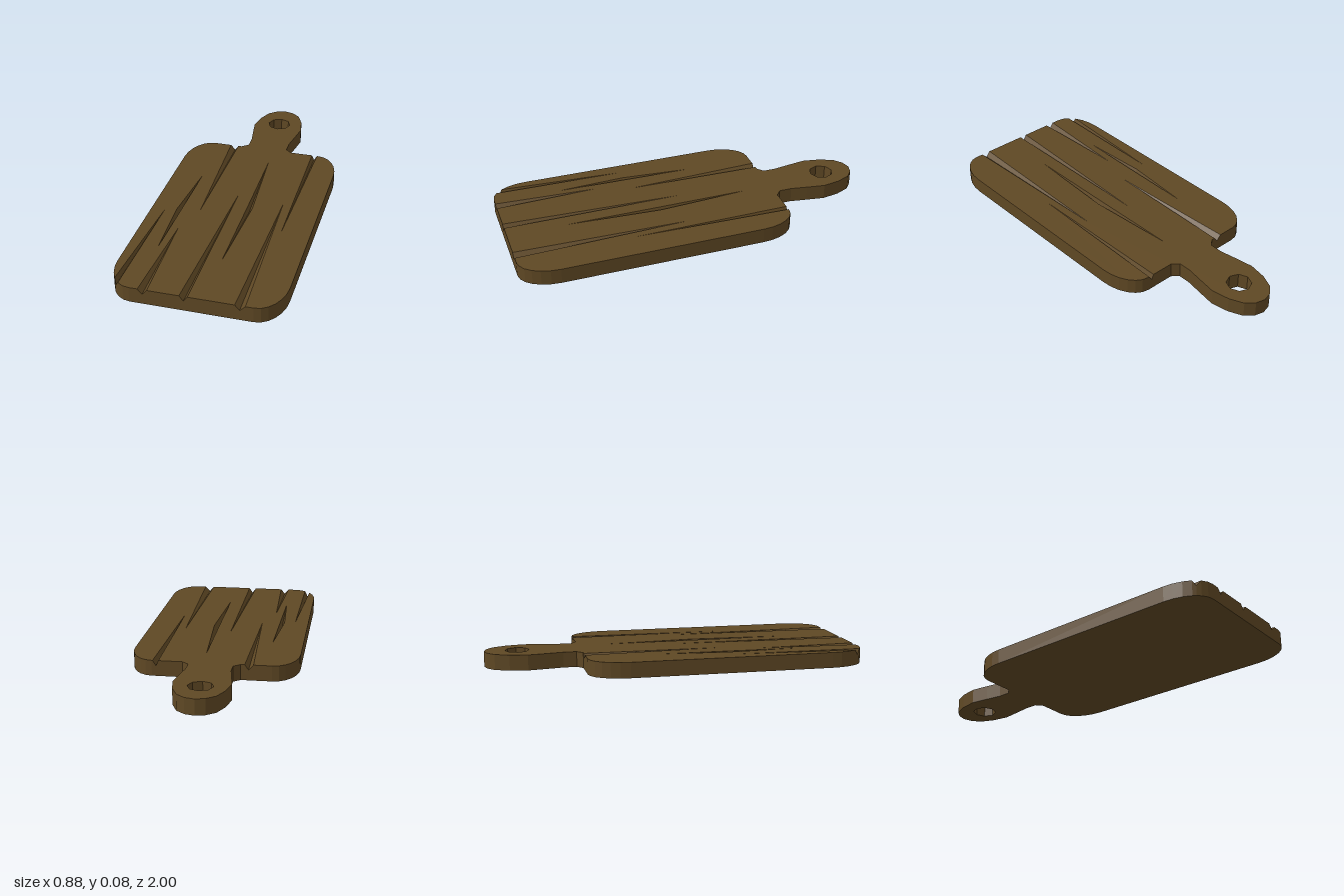
import * as THREE from 'three';

const H = 0.083;       // board thickness
const DEEP = 0.055;    // height of the groove bottoms
const HOLE_Z = -0.825, HOLE_R = 0.065;

const material = new THREE.MeshStandardMaterial({ color: 0x5f4824, flatShading: true, roughness: 0.9 });

// Shape from [x, z] points; sign flips z for faces that look up
const toPath = (pts, sign, Type) => new Type(pts.map(([x, z]) => new THREE.Vector2(x, z * sign)));

function trianglesMesh(name, verts) {
  const g = new THREE.BufferGeometry();
  g.setAttribute('position', new THREE.Float32BufferAttribute(verts.flat(), 3));
  g.computeVertexNormals();
  const mesh = new THREE.Mesh(g, material);
  mesh.name = name;
  return mesh;
}

function flatMesh(name, outline, holes, up) {
  const sign = up ? -1 : 1;
  const shape = toPath(outline, sign, THREE.Shape);
  shape.holes = holes.map(h => toPath(h, sign, THREE.Path));
  const g = new THREE.ShapeGeometry(shape);
  g.rotateX(sign * Math.PI / 2);
  if (up) g.translate(0, H, 0);
  const mesh = new THREE.Mesh(g, material);
  mesh.name = name;
  return mesh;
}

// Point on a rounded corner, measured from the side (0) to the end (90 degrees)
function cornerPoint(sx, end, deg) {
  const a = deg * Math.PI / 180;
  const z = end > 0 ? 0.8 + 0.2 * Math.sin(a) : -0.29 - 0.2 * Math.sin(a);
  return [sx * (0.31 + 0.13 * Math.cos(a)), z];
}
const corner = (sx, end, degs) => degs.map(d => cornerPoint(sx, end, d));
const rising = [0, 15, 30, 45, 60, 75, 90];
const falling = [...rising].reverse();

// Groove that runs out through the rim: first corner, bottom, second corner, inner tip
const rimGroove = (a, c, b, tip) => ({ a, c, b, tip });
const endGroove = (z, xa, xc, xb, tip) => rimGroove([xa, z], [xc, z], [xb, z], tip);

export function createModel() {
  const group = new THREE.Group();
  group.name = 'cuttingBoard';

  // Half of the handle, from its end down to the shoulder
  const handle = [[-0.05, -0.987], [-0.095, -0.95], [-0.128, -0.875], [-0.145, -0.78],
    [-0.13, -0.68], [-0.115, -0.59], [-0.115, -0.52], [-0.15, -0.49]];
  const handleRight = handle.map(([x, z]) => [-x, z]).reverse();

  // Whole outline, counter-clockwise from above
  const rim = [
    [0, -1], ...handle,
    endGroove(-0.49, -0.17, -0.19, -0.215, [-0.18, 0.245]),
    ...corner(-1, -1, falling),
    ...corner(-1, 1, [0, 15, 30]),
    rimGroove(cornerPoint(-1, 1, 45), cornerPoint(-1, 1, 52), cornerPoint(-1, 1, 61), [-0.365, 0.28]),
    ...corner(-1, 1, [75, 90]),
    endGroove(1, -0.265, -0.242, -0.218, [-0.24, 0.45]),
    endGroove(1, -0.056, -0.035, -0.015, [-0.023, 0.03]),
    endGroove(1, 0.218, 0.242, 0.27, [0.235, 0.07]),
    ...corner(1, 1, falling),
    ...corner(1, -1, rising),
    endGroove(-0.49, 0.305, 0.288, 0.275, [0.287, 0.365]),
    ...handleRight,
  ];

  // Closed grooves: back tip, left, front tip, right, then the deepest point
  const closed = [
    { loop: [[-0.275, -0.105], [-0.305, 0.27], [-0.285, 0.64], [-0.28, 0.28]], c: [-0.291, 0.27] },
    { loop: [[0.05, -0.34], [0.056, 0.16], [0.06, 0.68], [0.085, 0.16]], c: [0.067, 0.16] },
  ];

  // Hanging hole
  const hole = [];
  for (let i = 0; i < 8; i++) {
    const a = i * Math.PI / 4;
    hole.push([HOLE_R * Math.cos(a), HOLE_Z + HOLE_R * Math.sin(a)]);
  }

  // Upper and lower faces
  const topOutline = rim.flatMap(p => p.tip ? [p.a, p.tip, p.b] : [p]);
  const wallPoints = rim.flatMap(p => p.tip
    ? [[...p.a, H], [...p.c, DEEP], [...p.b, H]] : [[...p, H]]);
  group.add(flatMesh('boardTop', topOutline, [hole, ...closed.map(g => g.loop)], true));
  group.add(flatMesh('boardUnderside', wallPoints, [hole], false));

  // Vertical walls, dipping where a groove runs out
  const wall = (name, pts) => {
    const v = [];
    pts.forEach(([x, z, h], i) => {
      const [x2, z2, h2] = pts[(i + 1) % pts.length];
      v.push([x, 0, z], [x2, 0, z2], [x2, h2, z2], [x, 0, z], [x2, h2, z2], [x, h, z]);
    });
    return trianglesMesh(name, v);
  };
  group.add(wall('boardEdge', wallPoints));
  group.add(wall('hangingHole', hole.map(p => [...p, H])));

  // Sloping sides of the carved grooves
  const top = ([x, z]) => [x, H, z];
  const deep = ([x, z]) => [x, DEEP, z];
  const v = [];
  for (const { a, c, b, tip } of rim.filter(p => p.tip)) {
    v.push(top(a), deep(c), top(tip), deep(c), top(b), top(tip));
  }
  for (const { loop, c } of closed) {
    loop.forEach((p, i) => v.push(top(p), top(loop[(i + 1) % 4]), deep(c)));
  }
  group.add(trianglesMesh('grooves', v));
  return group;
}
